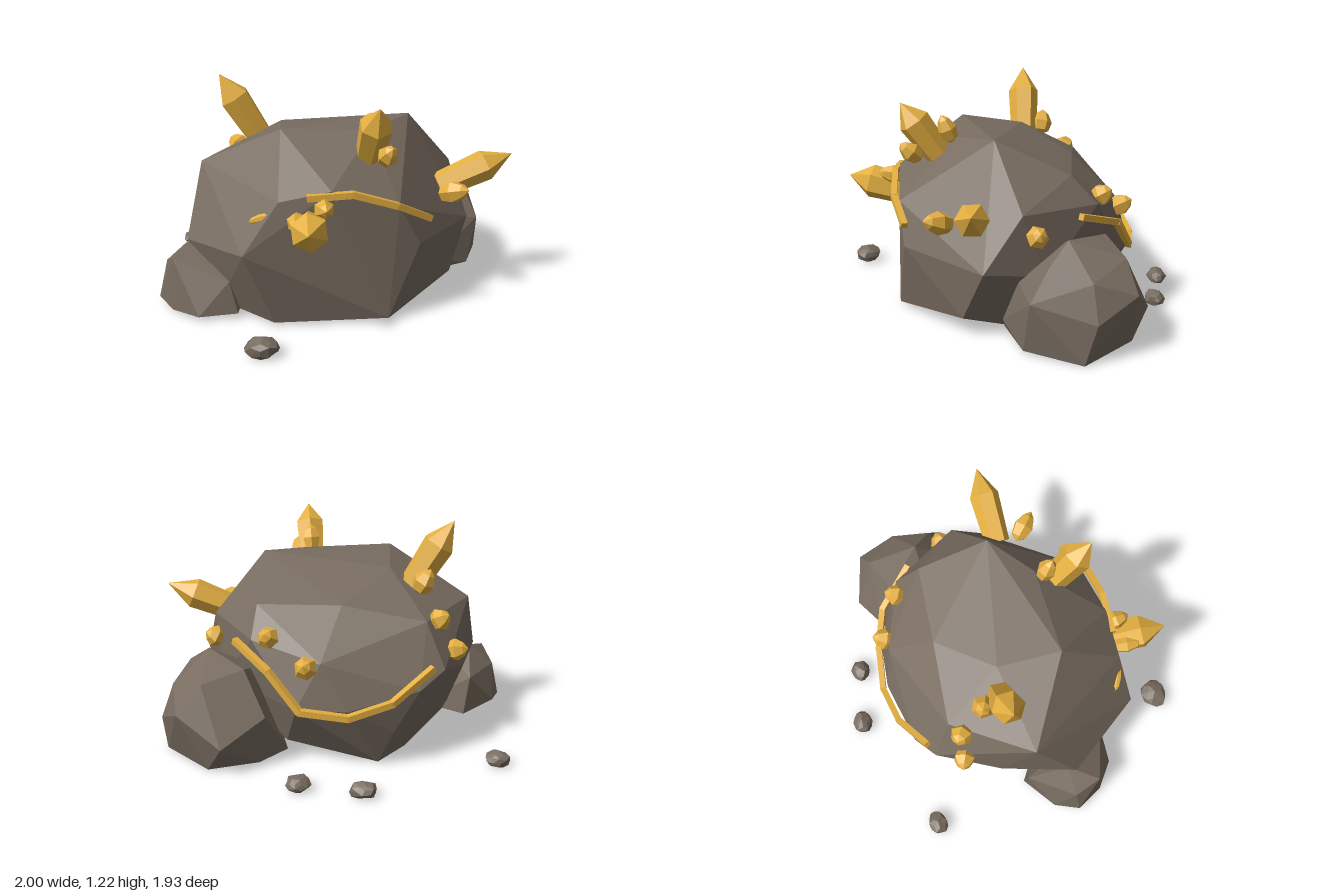
import * as THREE from 'three';
import { ConvexGeometry } from 'three/addons/geometries/ConvexGeometry.js';

const V = (p) => new THREE.Vector3(...p);
const UP = new THREE.Vector3(0, 1, 0);

export function createModel() {
  const model = new THREE.Group();
  const stone = new THREE.MeshStandardMaterial({ color: 0x786c60 });
  stone.name = 'stone';
  const gold = new THREE.MeshStandardMaterial({ color: 0xe4af40 });
  gold.name = 'gold';

  const add = (name, geometry, material) => {
    const mesh = new THREE.Mesh(geometry, material);
    mesh.name = name;
    model.add(mesh);
    return mesh;
  };
  const faceted = (geometry) => {
    const g = geometry.index ? geometry.toNonIndexed() : geometry;
    g.computeVertexNormals();
    return g;
  };
  const boulder = (name, points) => add(name, faceted(new ConvexGeometry(points.map(V))), stone);

  // Main boulder: base, middle and crown corners
  boulder('mainBoulder', [
    [-0.38, 0.02, 0.58], [0.23, 0.02, 0.6], [0.65, 0.11, 0.23], [0.5, 0, 0],
    [0.3, 0.1, -0.5], [-0.19, 0, -0.58], [-0.35, 0.02, -0.44], [-0.52, 0.02, -0.12],
    [-0.64, 0.02, 0.04], [-0.66, 0.03, 0.3], [-0.27, 0.2, -0.62],
    [-0.54, 0.43, 0.64], [0.4, 0.42, 0.55], [0.77, 0.4, 0.12], [0.66, 0.35, -0.2],
    [0.25, 0.36, -0.67], [-0.02, 0.36, -0.7], [-0.4, 0.44, -0.63], [-0.54, 0.52, -0.54],
    [-0.83, 0.37, 0.21], [-0.7, 0.4, -0.2],
    [-0.35, 0.7, 0.6], [-0.08, 0.75, 0.61], [0.28, 0.64, 0.58], [0.7, 0.69, -0.08],
    [0.48, 0.68, -0.48], [0.12, 0.6, -0.63], [-0.74, 0.75, -0.02], [-0.45, 0.75, -0.43],
    [-0.31, 0.99, 0.25], [0.18, 0.97, 0.26], [0.42, 1.01, 0.06], [-0.28, 0.95, -0.1],
    [0.45, 0.83, -0.34], [0, 0.83, -0.38],
  ]);

  // Large boulder at the back left
  boulder('backBoulder', [
    [0.72, 0.57, -0.31], [0.52, 0.53, -0.52], [0.74, 0.48, -0.6], [0.91, 0.41, -0.42], [0.84, 0.46, -0.2],
    [0.68, 0.33, -0.06], [0.9, 0.3, -0.11], [0.98, 0.22, -0.44], [0.87, 0.33, -0.65], [0.64, 0.17, -0.74],
    [0.41, 0.3, -0.63], [0.45, 0.02, -0.6], [0.72, 0.01, -0.65], [0.97, 0, -0.38], [0.84, 0.02, -0.08],
    [0.6, 0.08, 0.02], [0.51, 0, 0.01], [0.3, 0, -0.42], [0.45, 0.45, -0.3],
  ]);

  // Small boulder on the right side
  boulder('sideBoulder', [
    [-1, 0.03, 0.2], [-0.95, 0.24, 0.18], [-0.91, 0.31, 0.33], [-0.8, 0.37, 0.17], [-0.66, 0.32, 0.22],
    [-0.77, 0.25, -0.06], [-0.94, 0.05, 0.06], [-0.74, 0.02, -0.07], [-0.92, 0.02, 0.36],
    [-0.78, 0.02, 0.47], [-0.61, 0.21, 0.45], [-0.57, 0.03, 0.47], [-0.5, 0.02, 0.1],
  ]);

  // Loose pebbles: x, z, half width, half height, half depth, turn
  [
    [-0.46, 0.88, 0.09, 0.055, 0.08, 0.4],
    [-0.83, -0.64, 0.072, 0.048, 0.058, 1.1],
    [-0.09, -0.92, 0.077, 0.045, 0.058, 2],
    [0.24, -0.85, 0.068, 0.048, 0.06, 2.9],
  ].forEach(([x, z, w, h, d, turn]) => {
    const g = new THREE.IcosahedronGeometry(1, 1);
    const p = g.attributes.position;
    for (let i = 0; i < p.count; i++) {
      const v = new THREE.Vector3().fromBufferAttribute(p, i);
      v.multiplyScalar(0.95 + 0.1 * Math.sin(5 * v.x + 7 * v.y + 4 * v.z + turn));
      v.applyAxisAngle(UP, turn);
      p.setXYZ(i, v.x * w, Math.max(v.y, -0.75) * h, v.z * d);
    }
    add('pebble', faceted(g), stone).position.set(x, 0.8 * h, z);
  });

  // Six-sided shards from a base point to a tip
  const shard = (name, base, tip, r, profile) => {
    const a = V(base), dir = V(tip).sub(a), h = dir.length();
    const points = profile.map(([x, y]) => new THREE.Vector2(x * r, y * h));
    const mesh = add(name, faceted(new THREE.LatheGeometry(points, 6)), gold);
    mesh.position.copy(a);
    mesh.quaternion.setFromUnitVectors(UP, dir.normalize());
  };
  const longProfile = [[0, 0], [0.85, 0], [1, 0.64], [0, 1]];
  const stubProfile = [[0, 0], [0.75, 0.15], [1, 0.5], [0.6, 0.82], [0, 1]];

  [
    [[-0.4, 0.85, -0.12], [-0.625, 1.22, -0.12], 0.09],
    [[0.15, 0.87, 0.37], [0.17, 1.16, 0.57], 0.09],
    [[0.58, 0.61, 0.17], [1, 0.785, 0.17], 0.088],
    [[-0.18, 0.55, 0.56], [-0.23, 0.64, 0.93], 0.1],
  ].forEach(([b, t, r]) => shard('largeCrystal', b, t, r, longProfile));

  [
    [[-0.42, 0.84, -0.22], [-0.49, 0.98, -0.24], 0.065],
    [[0.15, 0.93, 0.29], [0.16, 1.09, 0.35], 0.055],
    [[0.21, 0.85, 0.46], [0.24, 0.95, 0.57], 0.057],
    [[0.56, 0.6, 0.28], [0.69, 0.66, 0.42], 0.063],
    [[0.66, 0.55, -0.14], [0.75, 0.61, -0.17], 0.062],
    [[-0.13, 0.66, 0.59], [-0.12, 0.69, 0.74], 0.055],
    [[-0.25, 0.61, 0.59], [-0.28, 0.63, 0.78], 0.052],
    [[-0.56, 0.56, -0.37], [-0.68, 0.59, -0.42], 0.062],
    [[-0.49, 0.71, -0.35], [-0.57, 0.78, -0.41], 0.064],
    [[0.18, 0.55, -0.58], [0.21, 0.62, -0.7], 0.064],
    [[0.37, 0.67, -0.46], [0.41, 0.74, -0.56], 0.062],
    [[-0.5, 0.58, 0.54], [-0.37, 0.64, 0.6], 0.022],
  ].forEach(([b, t, r]) => shard('smallCrystal', b, t, r, stubProfile));

  // Angular veins lying along the surface
  const vein = (name, path) => {
    for (let i = 1; i < path.length; i++) {
      const a = V(path[i - 1]), b = V(path[i]);
      const bar = add(name, faceted(new THREE.BoxGeometry(0.034, 0.034, a.distanceTo(b) + 0.012)), gold);
      bar.position.copy(a).add(b).multiplyScalar(0.5);
      bar.lookAt(b);
    }
  };
  vein('frontVein', [[-0.2, 0.72, 0.61], [0.03, 0.735, 0.625], [0.26, 0.66, 0.61], [0.45, 0.56, 0.54]]);
  vein('backVein', [
    [-0.47, 0.54, -0.57], [-0.25, 0.4, -0.69], [-0.02, 0.34, -0.73],
    [0.23, 0.36, -0.69], [0.39, 0.55, -0.6], [0.57, 0.64, -0.39],
  ]);

  return model;
}
